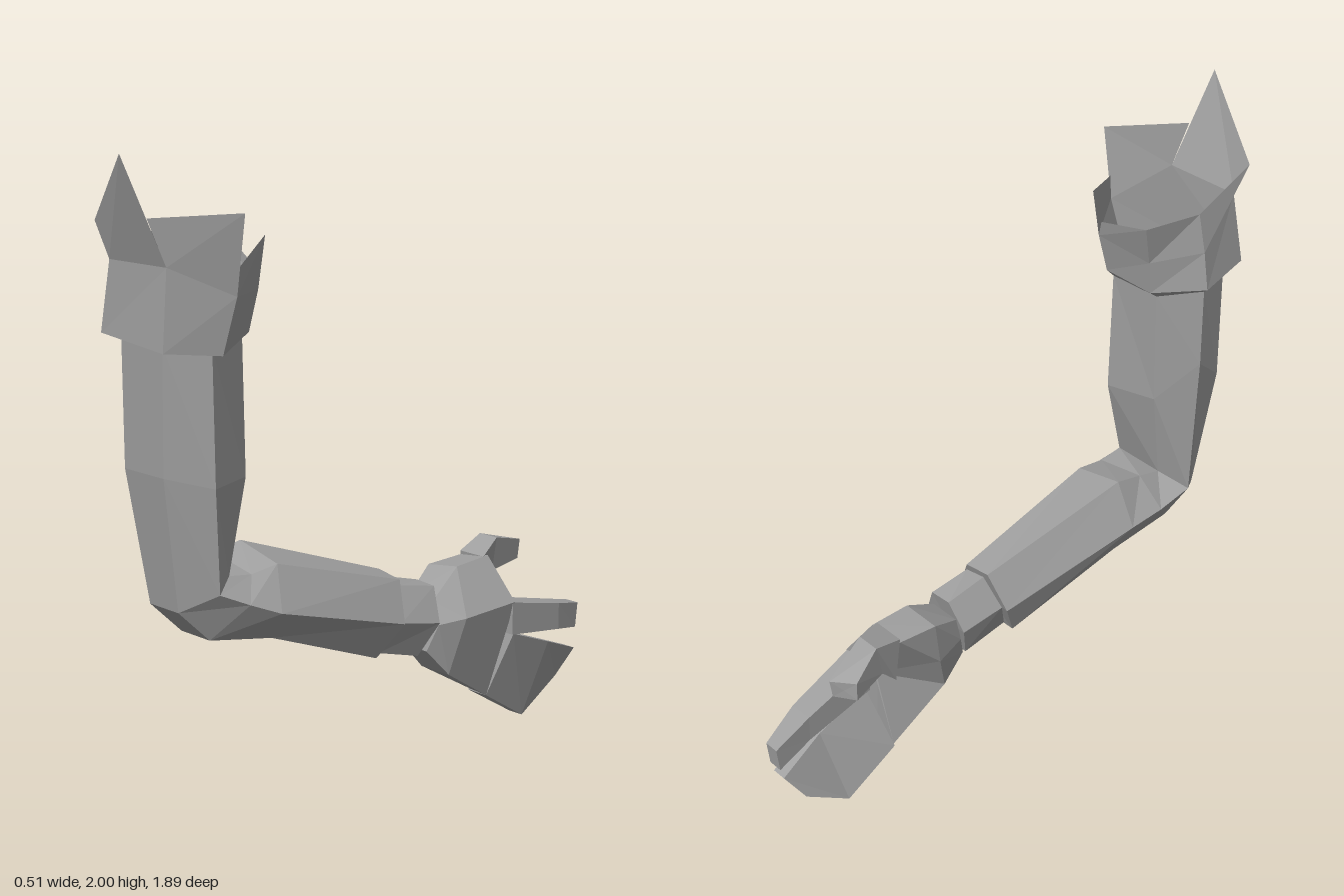
import * as THREE from 'three';

const grey = new THREE.MeshStandardMaterial({ color: 0xa0a0a0, side: THREE.DoubleSide });
grey.name = 'grey';

// Faceted mesh from a list of triangles (each three [x, y, z] corners)
function facetMesh(name, tris) {
  const geo = new THREE.BufferGeometry();
  geo.setAttribute('position', new THREE.Float32BufferAttribute(tris.flat(2), 3));
  geo.computeVertexNormals();
  const mesh = new THREE.Mesh(geo, grey);
  mesh.name = name;
  return mesh;
}

const quad = (a, b, c, d) => [[a, b, c], [a, c, d]];

// Closed loft through matching cross-sections, capped at both ends, turned outward
function loft(name, rings) {
  const tris = [];
  const n = rings[0].length;
  const centre = (ring) => [0, 1, 2].map((k) => ring.reduce((s, p) => s + p[k], 0) / n);
  const first = rings[0], last = rings[rings.length - 1];
  const c0 = centre(first), c1 = centre(last);
  for (let i = 0; i < n; i++) {
    const j = (i + 1) % n;
    for (let r = 0; r + 1 < rings.length; r++) {
      tris.push(...quad(rings[r][i], rings[r][j], rings[r + 1][j], rings[r + 1][i]));
    }
    tris.push([c0, first[j], first[i]], [c1, last[i], last[j]]);
  }
  const v = (p) => new THREE.Vector3(...p);
  const volume = tris.reduce((s, [a, b, c]) => s + v(a).dot(v(b).cross(v(c))), 0);
  return facetMesh(name, volume < 0 ? tris.map(([a, b, c]) => [a, c, b]) : tris);
}

// Four-cornered finger section: x range, then top and bottom as [y, z]
const slab = (x0, x1, [yt, zt], [yb, zb], shift = 0) => [
  [x0, yt, zt], [x1, yt, zt], [x1 + shift, yb, zb], [x0 + shift, yb, zb],
];

export function createModel() {
  const model = new THREE.Group();
  model.name = 'arm';

  // Arm sections: two front corners, +x side, two back corners, -x side
  const armTop = [[-0.16, 1.44, 0.8], [0.04, 1.44, 0.8], [0.13, 1.44, 0.69],
    [0.04, 1.44, 0.51], [-0.14, 1.44, 0.52], [-0.22, 1.44, 0.65]];
  const armMiddle = [[-0.17, 1.05, 0.79], [0.02, 1.05, 0.79], [0.125, 1.02, 0.68],
    [0.05, 1.02, 0.51], [-0.14, 1.05, 0.53], [-0.23, 1.18, 0.64]];
  const elbow = [[-0.14, 0.63, 0.73], [0, 0.63, 0.73], [0.1, 0.69, 0.65],
    [0.06, 0.73, 0.585], [-0.12, 0.73, 0.585], [-0.2, 0.67, 0.65]];
  model.add(loft('upperArm', [armTop, armMiddle, elbow]));

  // Forearm, continuing from the elbow section
  model.add(loft('forearm', [
    elbow,
    [[-0.12, 0.53, 0.63], [0.02, 0.53, 0.63], [0.13, 0.65, 0.56],
      [0.06, 0.72, 0.5], [-0.12, 0.752, 0.5], [-0.195, 0.64, 0.53]],
    [[-0.11, 0.495, 0.4], [0.03, 0.495, 0.4], [0.155, 0.61, 0.46],
      [0.06, 0.735, 0.4], [-0.12, 0.775, 0.4], [-0.185, 0.62, 0.41]],
    [[-0.06, 0.35, -0.01], [0.05, 0.35, -0.01], [0.13, 0.47, -0.06],
      [0.06, 0.595, -0.1], [-0.04, 0.61, -0.1], [-0.1, 0.48, -0.07]],
  ]));

  // Narrow wrist
  model.add(loft('wrist', [
    [[-0.03, 0.365, -0.02], [0.05, 0.365, -0.02], [0.115, 0.47, -0.06],
      [0.06, 0.575, -0.1], [-0.02, 0.59, -0.1], [-0.075, 0.48, -0.07]],
    [[-0.02, 0.325, -0.18], [0.06, 0.325, -0.18], [0.12, 0.44, -0.22],
      [0.07, 0.55, -0.24], [-0.01, 0.555, -0.24], [-0.06, 0.45, -0.22]],
  ]));

  // Palm, widening from the wrist to the knuckles
  model.add(loft('palm', [
    [[-0.04, 0.5, -0.235], [0.07, 0.5, -0.235], [0.11, 0.43, -0.225],
      [0.08, 0.34, -0.2], [-0.03, 0.34, -0.2], [-0.05, 0.42, -0.225]],
    [[-0.085, 0.57, -0.36], [0.04, 0.585, -0.37], [0.14, 0.44, -0.32],
      [0.1, 0.25, -0.28], [-0.03, 0.25, -0.28], [-0.07, 0.4, -0.33]],
    [[-0.08, 0.58, -0.5], [0.03, 0.595, -0.52], [0.13, 0.45, -0.55],
      [0.05, 0.12, -0.5], [-0.03, 0.125, -0.5], [0.03, 0.4, -0.52]],
  ]));

  // Thumb, forefinger and the block of joined fingers
  model.add(loft('thumb', [
    slab(-0.08, 0.03, [0.593, -0.5], [0.44, -0.52]),
    slab(-0.1, -0.02, [0.63, -0.61], [0.52, -0.59]),
    [[-0.15, 0.59, -0.73], [-0.08, 0.585, -0.78], [-0.08, 0.52, -0.77], [-0.15, 0.525, -0.73]],
  ]));
  model.add(loft('forefinger', [
    slab(0.03, 0.13, [0.45, -0.54], [0.34, -0.54]),
    slab(0.01, 0.09, [0.39, -0.8], [0.3, -0.8]),
    slab(-0.01, 0.04, [0.355, -0.945], [0.27, -0.935]),
  ]));
  model.add(loft('joinedFingers', [
    slab(0.04, 0.125, [0.34, -0.55], [0.12, -0.5], -0.075),
    slab(0.04, 0.1, [0.27, -0.74], [0.005, -0.69], -0.07),
    slab(0.01, 0.06, [0.205, -0.91], [0.11, -0.85], -0.03),
  ]));

  // Torn flaring cuff: rim and waist rings, then a jagged panel on each side
  const rim = [[-0.19, 1.46, 0.85], [0.11, 1.435, 0.85], [0.18, 1.42, 0.69],
    [0.06, 1.455, 0.5], [-0.17, 1.49, 0.46], [-0.26, 1.475, 0.62]];
  const waist = [[-0.14, 1.68, 0.85], [0.12, 1.68, 0.84], [0.21, 1.59, 0.66],
    [0.08, 1.58, 0.48], [-0.17, 1.6, 0.45], [-0.24, 1.6, 0.62]];
  const tips = [
    [[-0.18, 1.79, 0.87], [0.06, 2, 0.95]],
    [[0.1, 1.82, 0.89], [0.25, 1.83, 0.66]],
    [[0.215, 1.67, 0.66], [0.09, 1.74, 0.46]],
    [[0.06, 1.64, 0.47], [-0.19, 1.74, 0.41]],
    [[-0.19, 1.74, 0.41], [-0.22, 1.73, 0.61]],
    [[-0.22, 1.73, 0.61], [-0.18, 1.79, 0.87]],
  ];
  const cuff = [];
  tips.forEach(([p, q], i) => {
    const j = (i + 1) % 6;
    cuff.push(...quad(armTop[i], armTop[j], rim[j], rim[i]));
    cuff.push(...quad(rim[i], rim[j], waist[j], waist[i]));
    cuff.push(...quad(waist[i], waist[j], q, p));
  });
  model.add(facetMesh('tornCuff', cuff));

  return model;
}
